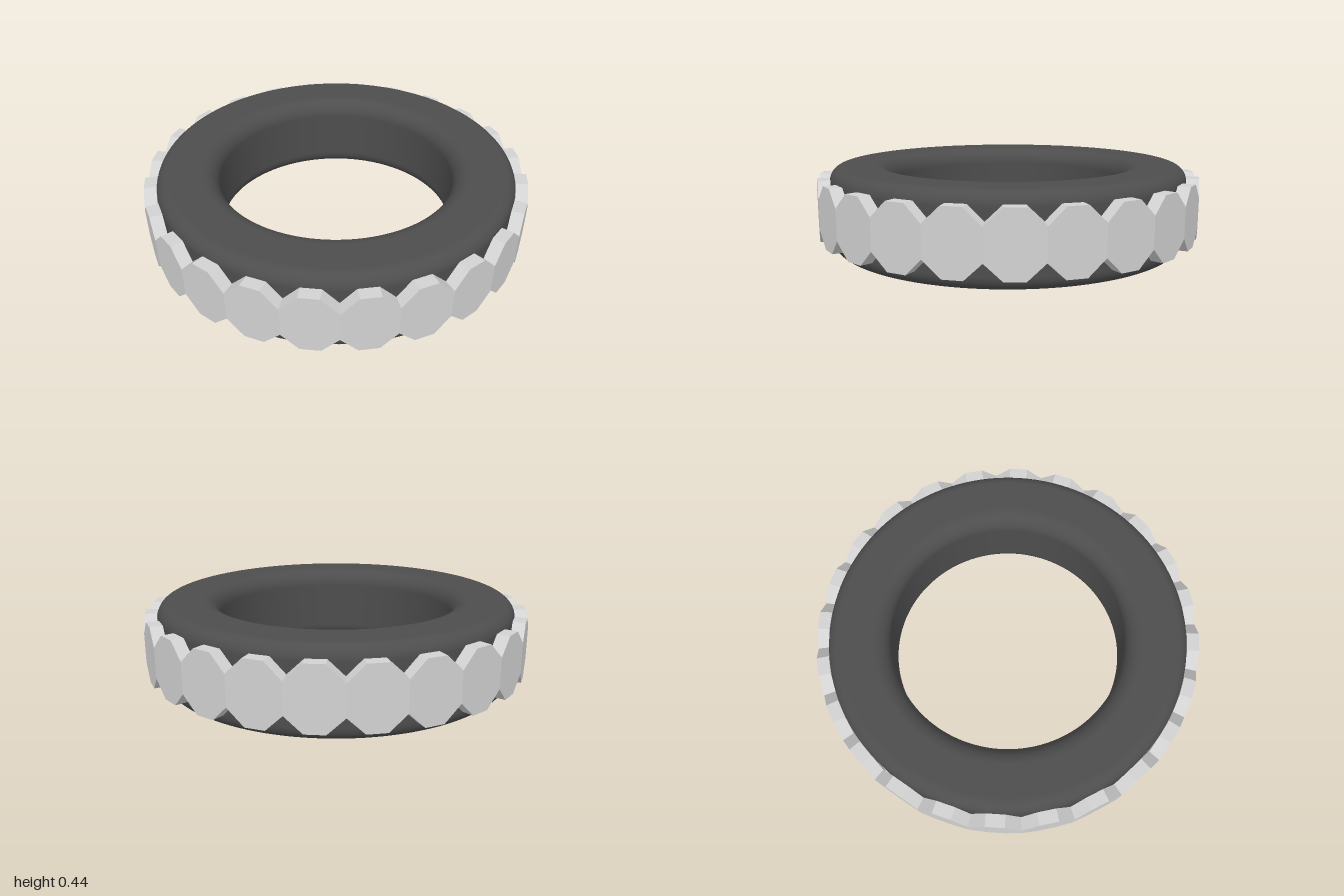
import * as THREE from 'three';

const HEIGHT = 0.435, INNER = 0.617, OUTER = 0.935;
const PLATES = 24, PLATE_BACK = 0.935, PLATE_FRONT = 0.998, PLATE_Y = 0.225;

// Rounded section of the ring, counter-clockwise from the middle of the bore
function ringProfile() {
  const a = 0.09, b = 0.07, H = Math.PI / 2;
  const s = new THREE.Shape();
  s.moveTo(INNER, HEIGHT / 2);
  s.lineTo(INNER, a);
  s.absarc(INNER + a, a, a, Math.PI, 3 * H, false);
  s.absarc(OUTER - b, b, b, 3 * H, 4 * H, false);
  s.absarc(OUTER - b, HEIGHT - b, b, 0, H, false);
  s.absarc(INNER + a, HEIGHT - a, a, H, Math.PI, false);
  s.lineTo(INNER, HEIGHT / 2);
  return s.getPoints(10);
}

// Octagonal plate, cut at the sides where it meets its neighbours
function plateGeometry() {
  const w = PLATE_FRONT * Math.tan(Math.PI / PLATES), h = 0.155;
  const top = 0.048, side = 0.076;
  const s = new THREE.Shape([
    [w, -side], [w, side], [top, h], [-top, h],
    [-w, side], [-w, -side], [-top, -h], [top, -h],
  ].map(([x, y]) => new THREE.Vector2(x, y)));
  const g = new THREE.ExtrudeGeometry(s, { depth: PLATE_FRONT - PLATE_BACK, bevelEnabled: false });
  return g.translate(0, PLATE_Y, PLATE_BACK);
}

export function createModel() {
  const rubber = new THREE.MeshStandardMaterial({ name: 'dark rubber', color: 0x4d4d4d });
  const metal = new THREE.MeshStandardMaterial({ name: 'light grey', color: 0xd2d2d2 });
  const model = new THREE.Group();
  model.name = 'studdedRing';

  // Smooth ring
  const ring = new THREE.Mesh(new THREE.LatheGeometry(ringProfile(), 128), rubber);
  ring.name = 'ring';
  model.add(ring);

  // Band of plates round the outside
  const band = new THREE.Group();
  band.name = 'plateBand';
  const geometry = plateGeometry();
  for (let i = 0; i < PLATES; i++) {
    const plate = new THREE.Mesh(geometry, metal);
    plate.name = 'plate' + (i + 1);
    plate.rotation.y = (i / PLATES) * Math.PI * 2;
    band.add(plate);
  }
  model.add(band);
  return model;
}
